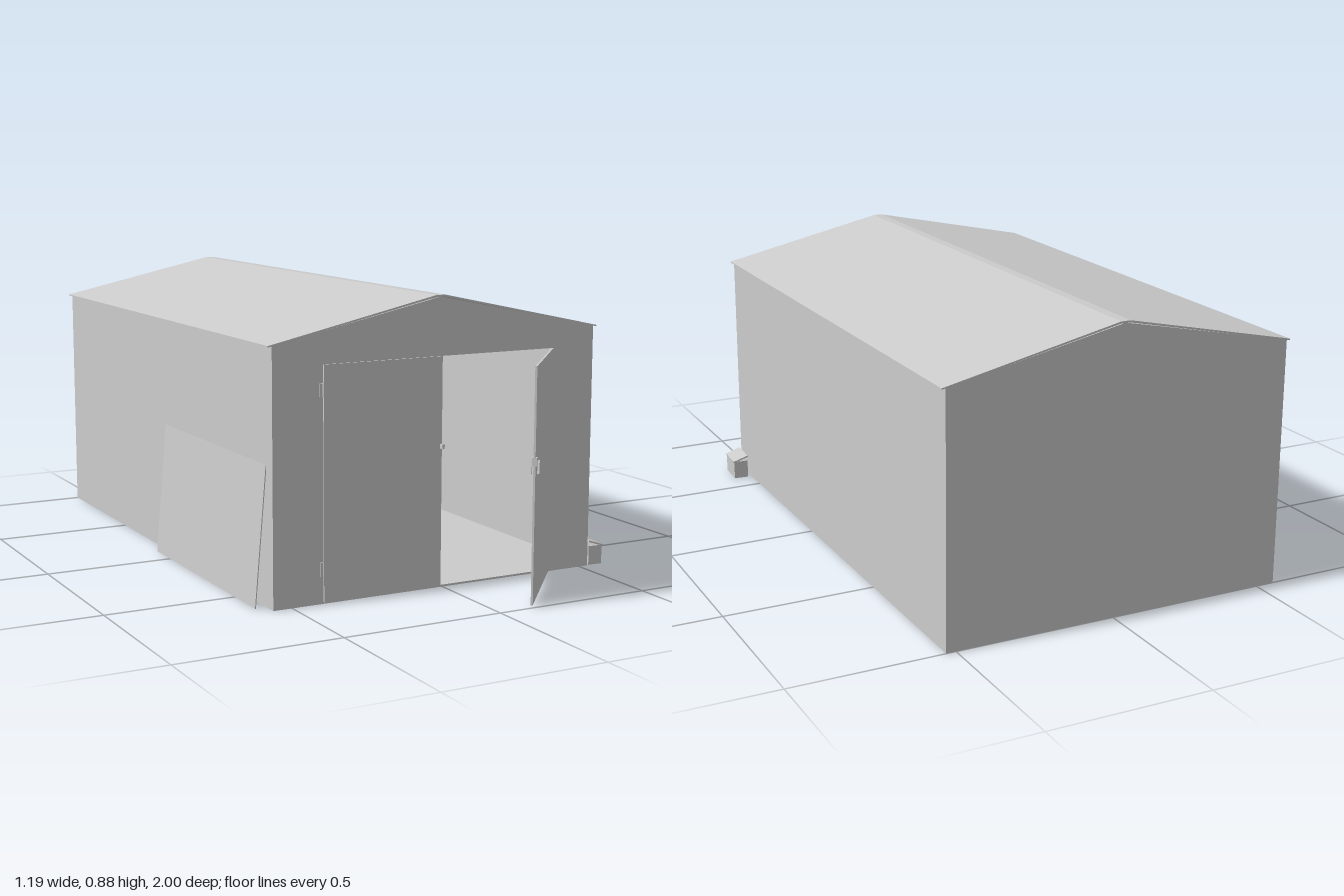
import * as THREE from 'three';

const mat = new THREE.MeshStandardMaterial({ color: 0xcccccc, flatShading: true, side: THREE.DoubleSide });
const LEFT = 0.53, RIGHT = -0.56, FRONT = 0.685, BACK = -1, EAVE = 0.757, RIDGE = 0.872, MID = -0.015;
const WALL = 0.004;
const DOOR = { min: -0.4, mid: -0.01, max: 0.378, low: 0.006, high: 0.696 };

function add(parent, name, geometry, x = 0, y = 0, z = 0) {
  const mesh = new THREE.Mesh(geometry, mat);
  mesh.name = name;
  mesh.position.set(x, y, z);
  parent.add(mesh);
  return mesh;
}

// Box given by its lower and upper corners
function block(parent, name, [x0, y0, z0], [x1, y1, z1]) {
  return add(parent, name, new THREE.BoxGeometry(x1 - x0, y1 - y0, z1 - z0),
    (x0 + x1) / 2, (y0 + y1) / 2, (z0 + z1) / 2);
}

function polygon(points) {
  return new THREE.Shape(points.map(([x, y]) => new THREE.Vector2(x, y)));
}

function extrude(shape, depth) {
  return new THREE.ExtrudeGeometry(shape, { depth, bevelEnabled: false });
}

function gable() {
  return polygon([[RIGHT, 0], [LEFT, 0], [LEFT, EAVE], [MID, RIDGE - 0.002], [RIGHT, EAVE]]);
}

// Two-leaf hinge wrapped around a small pin
function hinge(parent, x, y, z, side) {
  const g = new THREE.Group();
  g.name = 'hinge';
  g.position.set(x, y, z);
  parent.add(g);
  block(g, 'hingePlate', [-0.006, -0.021, 0], [0.006, 0.021, 0.003]);
  add(g, 'hingePin', new THREE.CylinderGeometry(0.0025, 0.0025, 0.04, 8), side * 0.004, 0, 0.004);
}

function createBuilding() {
  const g = new THREE.Group();
  g.name = 'building';
  block(g, 'floor', [RIGHT, 0, BACK], [LEFT, 0.004, FRONT]);
  block(g, 'leftWall', [LEFT - WALL, 0, BACK], [LEFT, EAVE, FRONT]);
  block(g, 'rightWall', [RIGHT, 0, BACK], [RIGHT + WALL, EAVE, FRONT]);
  add(g, 'backWall', extrude(gable(), WALL), 0, 0, BACK);

  // Front wall with the doorway cut out
  const front = gable();
  front.holes.push(polygon([[DOOR.min, DOOR.low], [DOOR.min, DOOR.high], [DOOR.max, DOOR.high], [DOOR.max, DOOR.low]]));
  add(g, 'frontWall', extrude(front, WALL), 0, 0, FRONT - WALL);

  // Thin folded roof sheet with small eaves and a flattened ridge
  const roof = polygon([
    [-0.572, 0.754], [-0.572, 0.758], [MID - 0.015, 0.875], [MID + 0.015, 0.875], [0.542, 0.758], [0.542, 0.754],
    [LEFT, EAVE - 0.001], [MID + 0.015, 0.869], [MID - 0.015, 0.869], [RIGHT, EAVE - 0.001],
  ]);
  add(g, 'roof', extrude(roof, FRONT - BACK), 0, 0, BACK);
  return g;
}

function createDoors() {
  const g = new THREE.Group();
  g.name = 'doors';

  // Closed door
  block(g, 'closedDoor', [DOOR.min, DOOR.low, FRONT - 0.002], [DOOR.mid, DOOR.high, FRONT + 0.005]);
  block(g, 'latchCatch', [DOOR.mid - 0.006, 0.422, FRONT], [DOOR.mid + 0.002, 0.436, FRONT + 0.018]);

  // Open door, swung out about its left edge
  const leaf = new THREE.Group();
  leaf.name = 'openDoor';
  leaf.position.set(DOOR.max, 0, FRONT + 0.004);
  leaf.rotation.y = Math.atan2(0.305, 0.268);
  g.add(leaf);
  const width = 0.406;
  block(leaf, 'doorPanel', [-width, DOOR.low, -0.003], [0, DOOR.high, 0.003]);
  for (const s of [-1, 1]) {
    const plate = block(leaf, 'handlePlate', [-width + 0.002, 0.41, s * 0.004 - 0.003], [-width + 0.014, 0.435, s * 0.004 + 0.003]);
    plate.name = 'handlePlate';
    const lever = add(leaf, 'doorHandle', new THREE.BoxGeometry(0.01, 0.04, 0.006), -width + 0.01, 0.408, s * 0.011);
    lever.rotation.z = -0.25;
  }

  // Hinges on both outer edges
  for (const y of [0.102, 0.622]) {
    hinge(g, DOOR.min - 0.005, y, FRONT, 1);
    hinge(g, DOOR.max - 0.002, y + 0.003, FRONT, -1);
  }
  return g;
}

// Small open bin with a loosely closed lid
function createBin() {
  const g = new THREE.Group();
  g.name = 'bin';
  g.position.set(0.564, 0, 0.634);
  g.rotation.y = -0.05;
  const w = 0.024, d = 0.048, t = 0.003, h = 0.06;
  block(g, 'binBase', [-w, 0, -d], [w, t, d]);
  for (const s of [-1, 1]) {
    add(g, 'binSide', new THREE.BoxGeometry(t, h, 2 * d), s * (w - t / 2), h / 2, 0);
    add(g, 'binEnd', new THREE.BoxGeometry(2 * w, h, t), 0, h / 2, s * (d - t / 2));
  }
  const lid = add(g, 'binLid', new THREE.BoxGeometry(0.054, 0.005, 0.1), 0.001, 0.068, 0);
  lid.rotation.z = -0.32;
  return g;
}

export function createModel() {
  const model = new THREE.Group();
  model.name = 'shed';
  model.add(createBuilding(), createDoors(), createBin());

  // Board leaning against the right wall
  const board = add(model, 'leaningBoard', new THREE.BoxGeometry(0.003, 0.415, 0.75), -0.578, 0.2075, 0.268);
  board.rotation.z = -Math.atan2(0.036, 0.41);
  return model;
}
